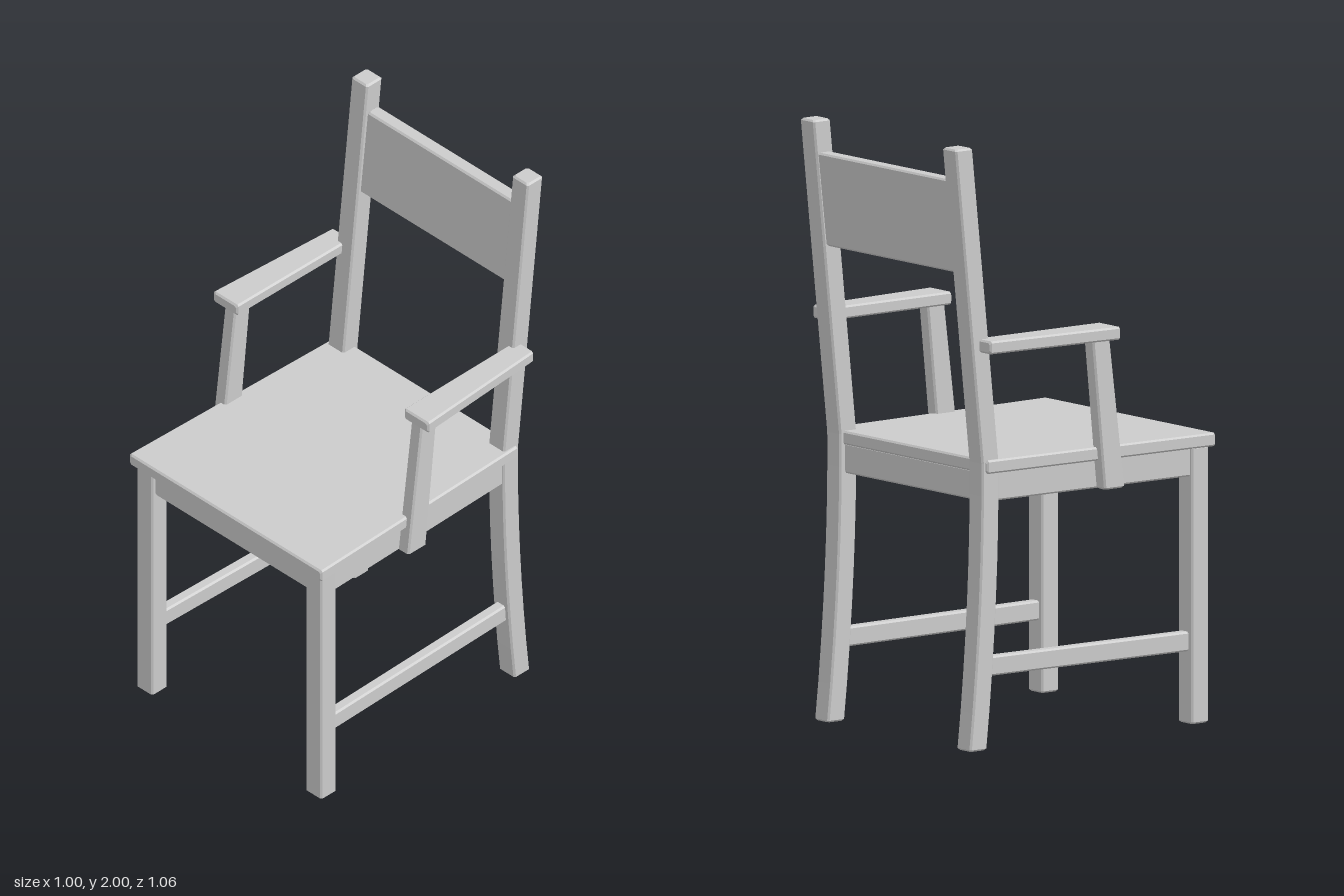
import * as THREE from 'three';

const material = new THREE.MeshStandardMaterial({ color: 0xcccccc, flatShading: true });
const CHAMFER = 0.006;

// Chamfered bar lofted through sections [t, x0, x1, w0, w1].
// axis 'y': t = y and w = z; axis 'z': t = z and w = y. Sections run in rising t.
function bar(name, axis, sections) {
  const c = CHAMFER;
  const first = sections[0], last = sections[sections.length - 1];
  const inset = ([t, a, b, d, e], dt) => [t + dt, a, b, d, e];
  const rings = [
    [first, c], [inset(first, c), 0],
    ...sections.slice(1, -1).map(s => [s, 0]),
    [inset(last, -c), 0], [last, c],
  ].map(([[t, x0, x1, w0, w1], k]) => {
    const a = x0 + k, b = x1 - k, d = w0 + k, e = w1 - k;
    const outline = [
      [a + c, d], [b - c, d], [b, d + c], [b, e - c],
      [b - c, e], [a + c, e], [a, e - c], [a, d + c],
    ];
    return outline.map(([x, w]) => (axis === 'y' ? [x, t, w] : [x, w, t]));
  });

  const positions = [];
  // Swapping y and z mirrors the frame, so the winding flips for upright bars
  const tri = (p, q, r) => positions.push(...p, ...(axis === 'y' ? [...r, ...q] : [...q, ...r]));
  for (let i = 0; i < rings.length - 1; i++) {
    for (let j = 0; j < 8; j++) {
      const n = (j + 1) % 8, lo = rings[i], hi = rings[i + 1];
      tri(lo[j], lo[n], hi[n]);
      tri(lo[j], hi[n], hi[j]);
    }
  }
  const start = rings[0], end = rings[rings.length - 1];
  for (let j = 1; j < 7; j++) {
    tri(start[0], start[j + 1], start[j]);
    tri(end[0], end[j], end[j + 1]);
  }
  const geometry = new THREE.BufferGeometry();
  geometry.setAttribute('position', new THREE.Float32BufferAttribute(positions, 3));
  geometry.computeVertexNormals();
  const mesh = new THREE.Mesh(geometry, material);
  mesh.name = name;
  return mesh;
}

// Back post: curved below the seat, straight and raked above it
function postSections() {
  const curve = new THREE.QuadraticBezierCurve(
    new THREE.Vector2(-0.397, 0), new THREE.Vector2(-0.342, 0.52), new THREE.Vector2(-0.347, 0.95));
  const points = [...curve.getPoints(8), new THREE.Vector2(-0.457, 2)];
  return points.map(p => [p.y, 0.336, 0.41, p.x - 0.071, p.x]);
}

export function createModel() {
  const chair = new THREE.Group();
  chair.name = 'armchair';

  // Seat board, a little narrower at the back
  chair.add(bar('seat', 'z', [
    [-0.405, -0.42, 0.42, 0.915, 0.96],
    [0.528, -0.447, 0.447, 0.915, 0.96],
  ]));

  // Raked back panel between the posts
  chair.add(bar('backPanel', 'y', [
    [1.58, -0.34, 0.34, -0.476, -0.426],
    [1.892, -0.34, 0.34, -0.51, -0.459],
  ]));

  // Rails under the front and back of the seat
  chair.add(bar('frontApron', 'z', [
    [0.465, -0.36, 0.36, 0.82, 0.92], [0.497, -0.36, 0.36, 0.82, 0.92]]));
  chair.add(bar('backApron', 'z', [
    [-0.4, -0.34, 0.34, 0.82, 0.92], [-0.368, -0.34, 0.34, 0.82, 0.92]]));

  // Parts that repeat on both sides
  const sideParts = [
    ['FrontLeg', 'y', [[0, 0.355, 0.43, 0.44, 0.511], [0.918, 0.355, 0.43, 0.44, 0.511]]],
    ['BackPost', 'y', postSections()],
    ['SideApron', 'z', [[-0.36, 0.368, 0.401, 0.82, 0.92], [0.45, 0.387, 0.42, 0.82, 0.92]]],
    ['Stretcher', 'z', [[-0.39, 0.352, 0.392, 0.24, 0.305], [0.45, 0.372, 0.412, 0.24, 0.305]]],
    ['ArmSupport', 'y', [[0.82, 0.408, 0.458, 0.055, 0.139], [1.33, 0.408, 0.458, 0.005, 0.077]]],
    ['Armrest', 'z', [[-0.43, 0.383, 0.468, 1.32, 1.363], [0.09, 0.386, 0.5, 1.32, 1.363]]],
  ];
  for (const [name, axis, sections] of sideParts) {
    chair.add(bar('left' + name, axis, sections));
    const mirrored = sections.map(([t, x0, x1, w0, w1]) => [t, -x1, -x0, w0, w1]);
    chair.add(bar('right' + name, axis, mirrored));
  }
  return chair;
}
